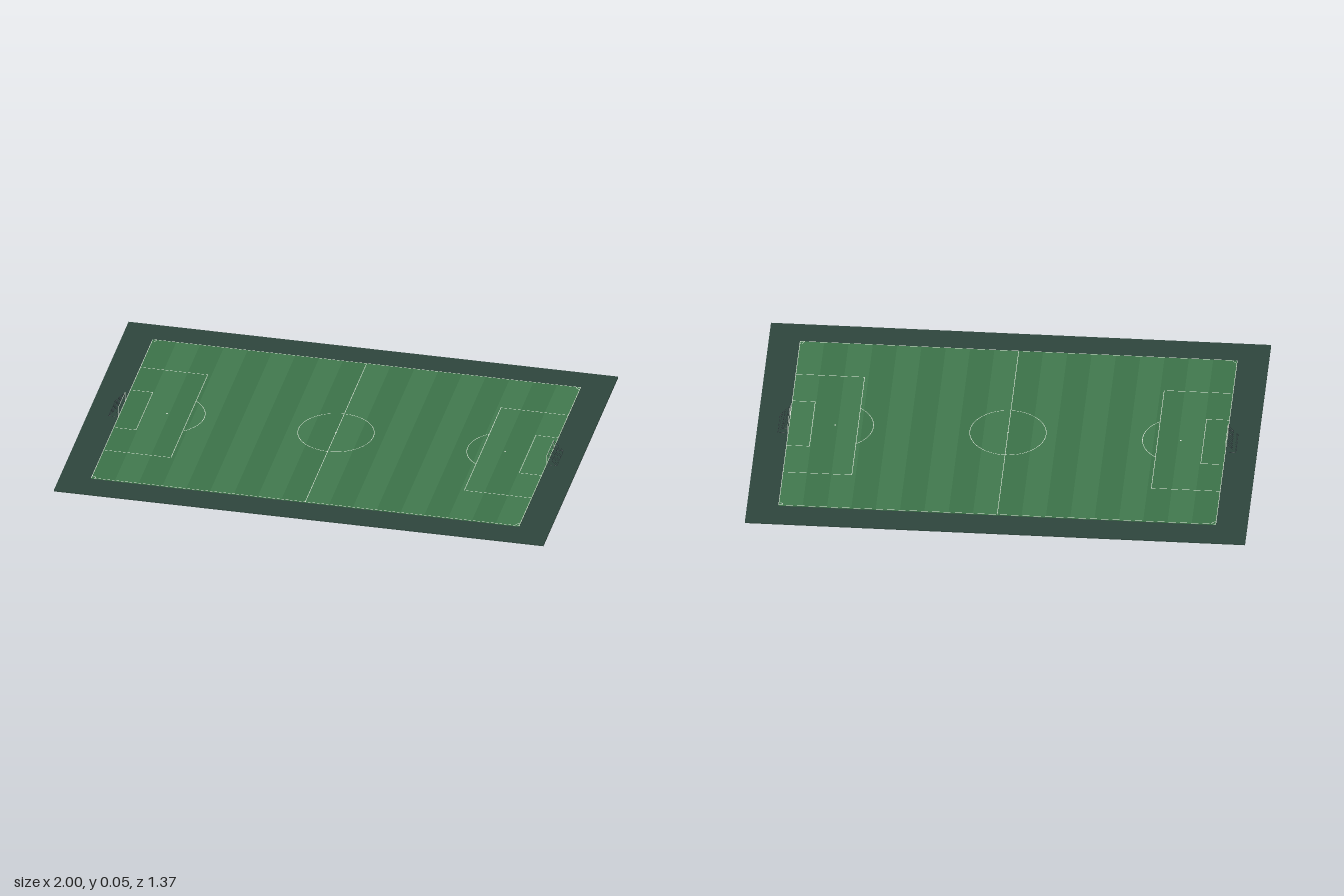
import * as THREE from 'three';

const M = 1 / 60; // one metre of pitch in model units
const L = 105 * M, W = 67.6 * M; // pitch size
const BASE = 0.005, TURF = 0.0085, LINE = 0.0022;

const mat = (color, side = THREE.FrontSide) => new THREE.MeshStandardMaterial({ color, side });

export function createModel() {
  const root = new THREE.Group();
  const surround = mat(0x2f473e), light = mat(0x427b4f), dark = mat(0x3d744a);
  const white = mat(0xdfe6da, THREE.DoubleSide), net = mat(0x2a3036);

  const add = (parent, name, geo, material, x = 0, y = 0, z = 0) => {
    const mesh = new THREE.Mesh(geo, material);
    mesh.name = name;
    mesh.position.set(x, y, z);
    parent.add(mesh);
    return mesh;
  };

  // Surround slab
  add(root, 'surround', new THREE.BoxGeometry(2, BASE, 1.37), surround, 0, BASE / 2, 0);

  // Mown turf stripes
  const count = 18, step = L / count, turfH = TURF - BASE;
  for (let i = 0; i < count; i++) {
    add(root, 'turfStripe', new THREE.BoxGeometry(step, turfH, W), i % 2 ? light : dark,
      -L / 2 + (i + 0.5) * step, BASE + turfH / 2, 0);
  }

  // Painted markings, all flat on the turf
  const markings = new THREE.Group();
  markings.name = 'markings';
  root.add(markings);
  const y = TURF + 0.0004;
  const line = (name, x0, z0, x1, z1) => {
    const geo = new THREE.PlaneGeometry(Math.abs(x1 - x0) + LINE, Math.abs(z1 - z0) + LINE);
    add(markings, name, geo.rotateX(-Math.PI / 2), white, (x0 + x1) / 2, y, (z0 + z1) / 2);
  };
  const arc = (name, x, z, r, start, sweep) => {
    const geo = new THREE.RingGeometry(r - LINE / 2, r + LINE / 2, 64, 1, start, sweep);
    add(markings, name, geo.rotateX(-Math.PI / 2), white, x, y, z);
  };
  const spot = (x) => add(markings, 'spot',
    new THREE.CircleGeometry(0.0035, 16).rotateX(-Math.PI / 2), white, x, y, 0);

  const ex = L / 2 - LINE / 2, ez = W / 2 - LINE / 2, R = 9.15 * M;
  line('halfwayLine', 0, -ez, 0, ez);
  arc('centreCircle', 0, 0, R, 0, Math.PI * 2);
  spot(0);
  for (const s of [-1, 1]) {
    line('touchLine', -ex, s * ez, ex, s * ez);
    line('goalLine', s * ex, -ez, s * ex, ez);
    // Penalty area and goal area: depth, half width
    for (const [name, d, h] of [['penaltyArea', 16.5 * M, 20.16 * M], ['goalArea', 5.5 * M, 9.16 * M]]) {
      const x = s * (ex - d);
      line(name, x, -h, x, h);
      for (const t of [-1, 1]) line(name, x, t * h, s * ex, t * h);
    }
    // Penalty spot and arc
    const px = s * (ex - 11 * M), half = Math.acos(5.5 / 9.15);
    spot(px);
    arc('penaltyArc', px, 0, R, (s > 0 ? Math.PI : 0) - half, half * 2);
    // Corner arcs
    for (const t of [-1, 1]) {
      const mid = Math.atan2(t, -s);
      arc('cornerArc', s * ex, t * ez, M, mid - Math.PI / 4, Math.PI / 2);
    }
  }

  // Goals: frame on the goal line, net sloping back to the ground
  const V = (a, b, c) => new THREE.Vector3(a, b, c);
  for (const s of [-1, 1]) {
    const goal = new THREE.Group();
    goal.name = s > 0 ? 'goalLeft' : 'goalRight';
    root.add(goal);
    const rod = (name, a, b, r, material) => {
      const dir = b.clone().sub(a);
      const mesh = add(goal, name, new THREE.CylinderGeometry(r, r, dir.length(), 8), material);
      mesh.position.copy(a).add(b).multiplyScalar(0.5);
      mesh.quaternion.setFromUnitVectors(V(0, 1, 0), dir.normalize());
    };
    const gx = s * L / 2, bx = gx + s * 0.041, gz = 3.66 * M, top = 0.0495;
    const at = (t, z) => V(gx + (bx - gx) * t, top + (BASE - top) * t, z);
    for (const t of [-1, 1]) {
      rod('post', V(gx, BASE, t * gz), V(gx, top, t * gz), 0.001, white);
      rod('groundBar', V(gx, BASE + 0.0008, t * gz), V(bx, BASE + 0.0008, t * gz), 0.0006, net);
      rod('sideNet', V(gx, 0.026, t * gz), at(0.53, t * gz), 0.0005, net);
    }
    rod('crossbar', at(0, -gz), at(0, gz), 0.001, white);
    for (let i = 0; i <= 10; i++) {
      const z = -gz + (2 * gz * i) / 10;
      rod('netCord', at(0, z), at(1, z), 0.0005, net);
    }
    for (const t of [0.53, 1]) rod('netCrossCord', at(t, -gz), at(t, gz), 0.0005, net);
  }
  return root;
}
